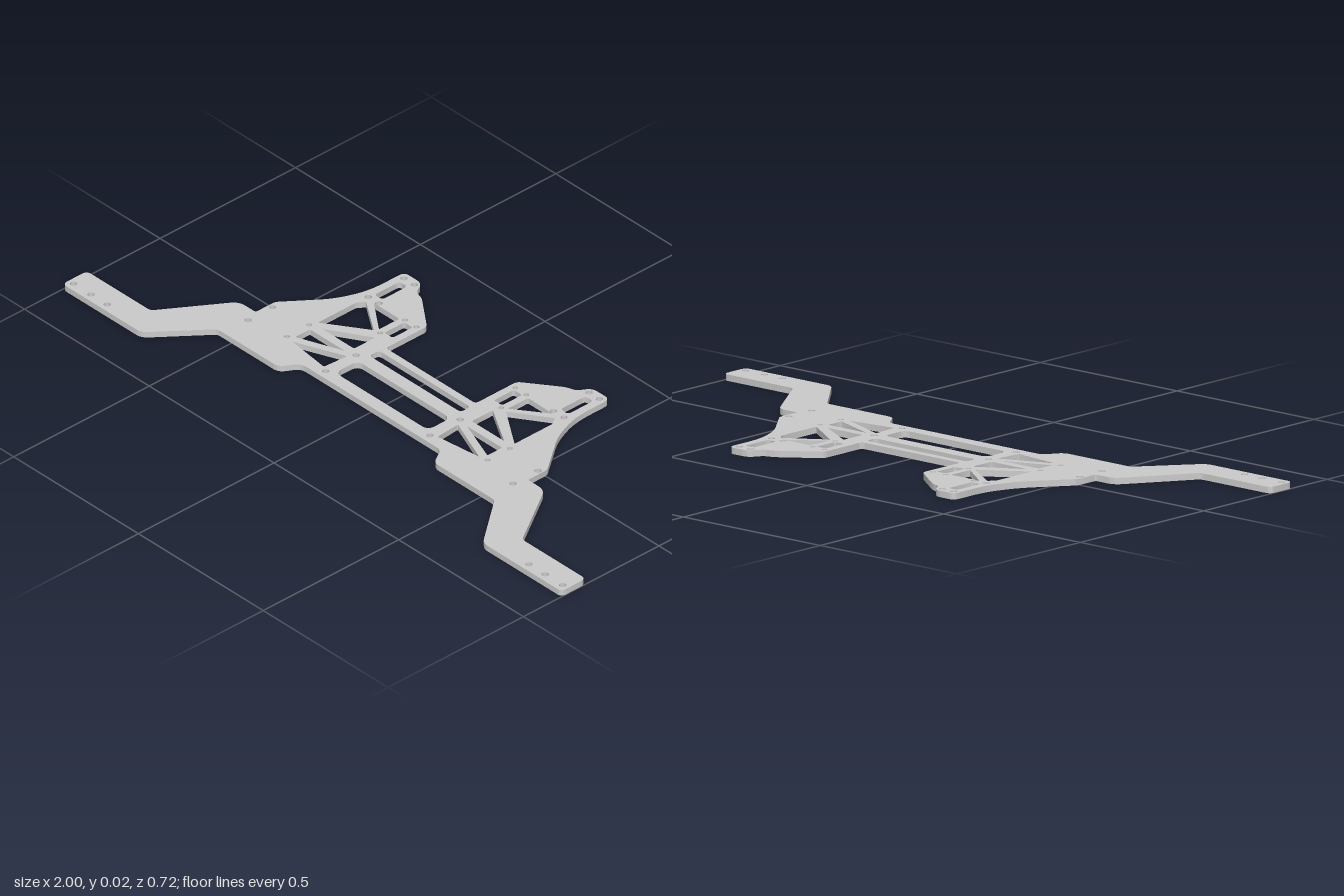
import * as THREE from 'three';
import { toCreasedNormals } from 'three/addons/utils/BufferGeometryUtils.js';

const THICKNESS = 0.018;

// Closed polygon with rounded corners; points are [x, z, radius]
function rounded(points, path, defaultRadius = 0.008) {
  const n = points.length;
  const v = points.map(([x, z]) => new THREE.Vector2(x, -z));
  for (let i = 0; i < n; i++) {
    const p = v[i], a = v[(i + n - 1) % n], b = v[(i + 1) % n];
    const r = points[i][2] ?? defaultRadius;
    const toA = a.clone().sub(p), toB = b.clone().sub(p);
    const start = p.clone().addScaledVector(toA.clone().normalize(), Math.min(r, toA.length() * 0.45));
    const end = p.clone().addScaledVector(toB.clone().normalize(), Math.min(r, toB.length() * 0.45));
    if (i === 0) path.moveTo(start.x, start.y);
    else path.lineTo(start.x, start.y);
    path.quadraticCurveTo(p.x, p.y, end.x, end.y);
  }
  path.closePath();
  return path;
}

const flip = (points) => points.map(([x, z, r]) => [-x, z, r]).reverse();
const rect = (x0, z0, x1, z1, r) => [[x0, z0, r], [x1, z0, r], [x1, z1, r], [x0, z1, r]];

export function createModel() {
  // Left half of the outline, from the front edge round to the back edge
  const half = [
    [0.28, 0.142, 0.02], [0.312, 0.197, 0.02], [0.555, 0.197, 0.01],
    [0.685, 0.36, 0.02], [1, 0.36, 0.018], [1, 0.27, 0.018],
    [0.745, 0.27, 0.012], [0.612, 0.065, 0.025], [0.546, 0.065, 0.008],
    [0.546, -0.006, 0.012], [0.448, -0.135, 0.04], [0.412, -0.23, 0.06],
    [0.412, -0.36, 0.02], [0.342, -0.36, 0.02], [0.32, -0.32, 0.015],
    [0.29, -0.312, 0.015], [0.18, -0.23, 0.012], [0.18, -0.078, 0.012],
  ];
  const plate = rounded([...half, ...flip(half)], new THREE.Shape());

  // Centre slots
  plate.holes.push(rounded(rect(-0.183, -0.056, 0.183, -0.02, 0.014), new THREE.Path()));
  plate.holes.push(rounded(rect(-0.186, 0.02, 0.186, 0.103, 0.025), new THREE.Path()));

  // Openings on each side: mounting slots and truss triangles
  const openings = [
    rect(0.357, -0.32, 0.388, -0.228, 0.012),
    rect(0.203, -0.198, 0.236, -0.125, 0.008),
    [[0.258, -0.2], [0.36, -0.2], [0.258, -0.125]],
    [[0.378, -0.188], [0.394, -0.165], [0.394, -0.025], [0.265, -0.112]],
    [[0.236, -0.09], [0.236, -0.013], [0.365, -0.013]],
    [[0.245, 0.013], [0.385, 0.013], [0.385, 0.067]],
    [[0.222, 0.026], [0.375, 0.088], [0.228, 0.106]],
  ];
  // Screw holes on each side: x, z, radius
  const screws = [
    [0.35, -0.34, 0.01], [0.392, -0.34, 0.01], [0.35, -0.209, 0.01], [0.392, -0.209, 0.01],
    [0.198, -0.208, 0.008], [0.243, -0.207, 0.008], [0.243, -0.115, 0.008],
    [0.209, 0.005, 0.01], [0.209, 0.117, 0.01], [0.402, 0, 0.008], [0.402, 0.082, 0.008],
    [0.532, 0.016, 0.01], [0.531, 0.107, 0.01],
    [0.845, 0.337, 0.01], [0.91, 0.337, 0.01], [0.98, 0.337, 0.01],
  ];
  for (const side of [1, -1]) {
    for (const o of openings) {
      plate.holes.push(rounded(side > 0 ? o : flip(o), new THREE.Path(), 0.005));
    }
    for (const [x, z, r] of screws) {
      plate.holes.push(new THREE.Path().absarc(side * x, -z, r, 0, Math.PI * 2, true));
    }
  }

  // Flat plate lying on the ground
  let geometry = new THREE.ExtrudeGeometry(plate, { depth: THICKNESS, bevelEnabled: false, curveSegments: 10 });
  geometry.rotateX(-Math.PI / 2);
  geometry = toCreasedNormals(geometry, 0.6);
  const mesh = new THREE.Mesh(geometry, new THREE.MeshStandardMaterial({ color: 0xcccccc }));
  mesh.name = 'framePlate';

  const group = new THREE.Group();
  group.name = 'mountingFrame';
  group.add(mesh);
  return group;
}
